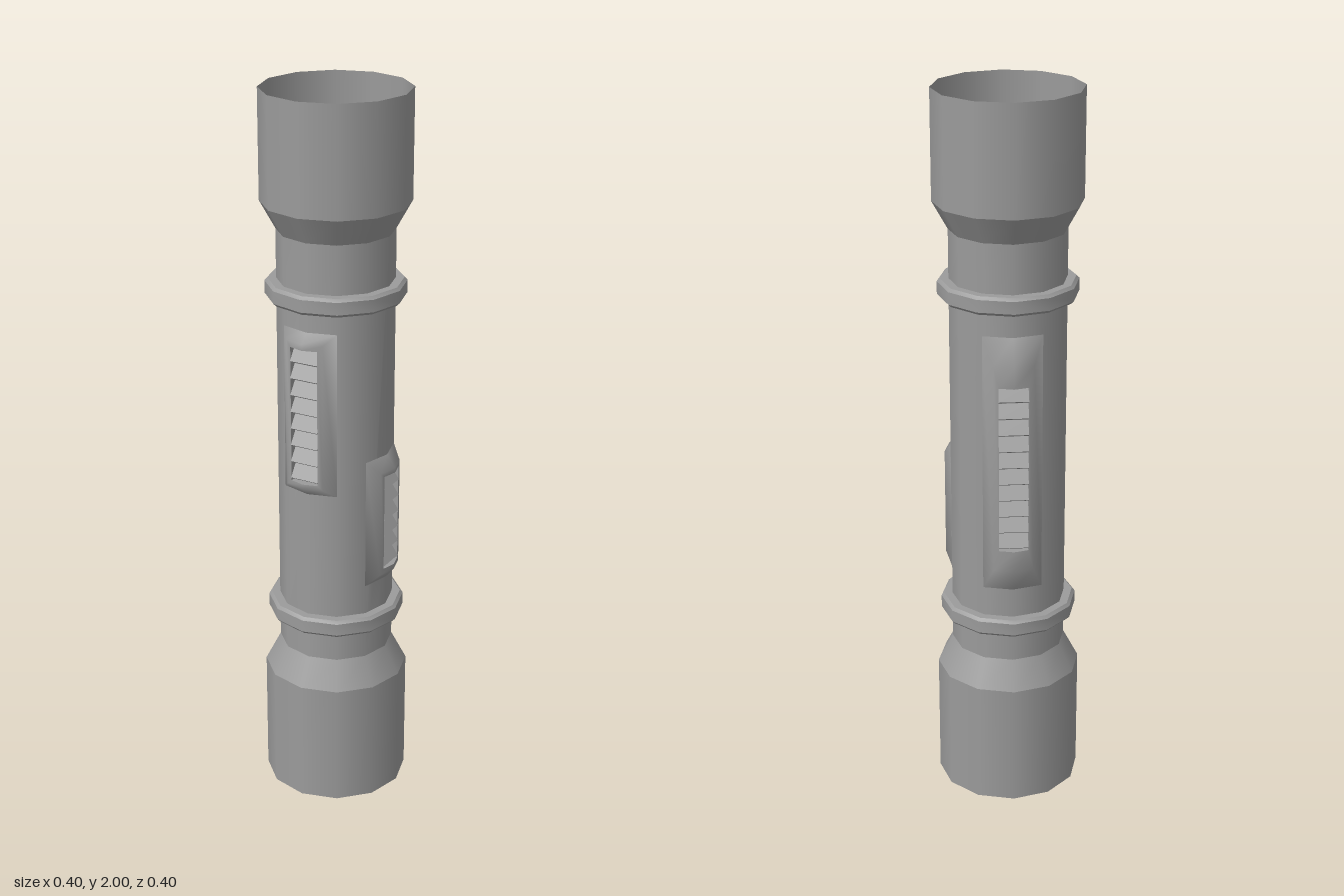
import * as THREE from 'three';
import { mergeGeometries, toCreasedNormals } from 'three/addons/utils/BufferGeometryUtils.js';

const SIDES = 12;
const RADIUS = 0.158;               // narrow body
const TILT = Math.tan(Math.PI / SIDES); // slope of the tube facets beside a corner
const SLOT = 0.04;                  // half width of the vent slots
const FLOOR = 0.145;                // distance of the slot floor from the axis
const metal = new THREE.MeshStandardMaterial({ color: 0x9b9b9b, side: THREE.DoubleSide });

// Vents sit on tube corners; corner 0 faces the front, counting towards +x
const VENTS = [
  { name: 'frontVent', corner: 11, ridge: 0.183, base: [0.93, 1.39], top: [0.955, 1.365], slot: [0.968, 1.348] },
  { name: 'leftVent', corner: 2, ridge: 0.183, base: [0.65, 1.02], top: [0.68, 0.985], slot: [0.695, 0.972] },
  { name: 'backVent', corner: 6, ridge: 0.191, base: [0.65, 1.38], top: [0.72, 1.31], slot: [0.78, 1.25] },
];

function add(parent, name, geometry) {
  const mesh = new THREE.Mesh(geometry, metal);
  mesh.name = name;
  parent.add(mesh);
  return mesh;
}

// Narrow tube made facet by facet, notched where a slot opens
function bodyGeometry(y0, y1) {
  const notch = SLOT / Math.cos(Math.PI / SIDES) / (2 * RADIUS * Math.sin(Math.PI / SIDES));
  const cornerPoint = k => {
    const a = k * 2 * Math.PI / SIDES;
    return new THREE.Vector3(RADIUS * Math.sin(a), 0, RADIUS * Math.cos(a));
  };
  const facets = [];
  for (let k = 0; k < SIDES; k++) {
    const after = VENTS.find(v => v.corner === k);
    const before = VENTS.find(v => v.corner === (k + 1) % SIDES);
    const points = [[0, y0], [1, y0]];
    if (before) {
      const [a, b] = before.slot;
      points.push([1, a], [1 - notch, a], [1 - notch, b], [1, b]);
    }
    points.push([1, y1], [0, y1]);
    if (after) {
      const [a, b] = after.slot;
      points.push([0, b], [notch, b], [notch, a], [0, a]);
    }
    const g = new THREE.ShapeGeometry(new THREE.Shape(points.map(p => new THREE.Vector2(...p))));
    const pos = g.attributes.position;
    for (let i = 0; i < pos.count; i++) {
      const p = cornerPoint(k).lerp(cornerPoint(k + 1), pos.getX(i));
      pos.setXYZ(i, p.x, pos.getY(i), p.z);
      p.normalize();
      g.attributes.normal.setXYZ(i, p.x, 0, p.z);
    }
    facets.push(g);
  }
  return mergeGeometries(facets);
}

// Six-point outline folded over a tube corner; ridge is the height at its centre
function outline(halfWidth, [y0, y1], ridge, fold = TILT) {
  const edge = ridge - halfWidth * fold;
  return [
    [-halfWidth, y0, edge], [0, y0, ridge], [halfWidth, y0, edge],
    [halfWidth, y1, edge], [0, y1, ridge], [-halfWidth, y1, edge],
  ];
}

// Bevelled frame with a recessed slot, lofted from base to slot floor
function frameGeometry({ base, top, slot, ridge }) {
  const loops = [
    outline(0.08, base, RADIUS),
    outline(0.054, top, ridge),
    outline(SLOT, slot, ridge),
    outline(SLOT, slot, FLOOR, 0),
  ];
  const index = [];
  for (let r = 0; r < loops.length - 1; r++) {
    for (let i = 0; i < 6; i++) {
      const a = r * 6 + i, b = r * 6 + (i + 1) % 6;
      index.push(a, b, b + 6, a, b + 6, a + 6);
    }
  }
  for (let i = 1; i < 5; i++) index.push(18, 18 + i, 19 + i); // slot floor
  const g = new THREE.BufferGeometry();
  g.setAttribute('position', new THREE.Float32BufferAttribute(loops.flat(2), 3));
  g.setIndex(index);
  return toCreasedNormals(g, 1.05);
}

function createVent(spec) {
  const vent = new THREE.Group();
  vent.name = spec.name;
  add(vent, 'ventFrame', frameGeometry(spec));
  // Steep louvres slope outward and down
  const [y0, y1] = spec.slot;
  const count = Math.round((y1 - y0) / 0.047);
  const blade = new THREE.BoxGeometry(2 * SLOT, 0.008, 0.042);
  for (let i = 0; i < count; i++) {
    const slat = add(vent, 'slat', blade);
    slat.position.set(0, y0 + (i + 0.5) * (y1 - y0) / count, spec.ridge - 0.024);
    slat.rotation.x = 0.95;
  }
  vent.rotation.y = spec.corner * 2 * Math.PI / SIDES;
  return vent;
}

export function createModel() {
  const model = new THREE.Group();
  model.name = 'pipe';

  // Open tube: wide sockets and tapers [name, y0, r0, y1, r1] around the body
  const sections = [
    ['lowerSocket', 0, 0.2, 0.35, 0.2],
    ['lowerTaper', 0.35, 0.2, 0.43, RADIUS],
    ['upperTaper', 1.63, RADIUS, 1.705, 0.2],
    ['upperSocket', 1.705, 0.2, 2, 0.2],
  ];
  for (const [name, y0, r0, y1, r1] of sections) {
    const g = new THREE.CylinderGeometry(r1, r0, y1 - y0, SIDES, 1, true);
    add(model, name, g).position.y = (y0 + y1) / 2;
  }
  add(model, 'body', bodyGeometry(0.43, 1.63));

  // Bevelled collars around the body
  const profile = [[0.157, -0.025], [0.181, -0.025], [0.189, -0.017], [0.189, 0.017], [0.181, 0.025], [0.157, 0.025]]
    .map(([r, y]) => new THREE.Vector2(r, y));
  const collar = toCreasedNormals(new THREE.LatheGeometry(profile, SIDES), 0.6);
  add(model, 'lowerCollar', collar).position.y = 0.541;
  add(model, 'upperCollar', collar).position.y = 1.471;

  // Louvred vents spaced around the body
  for (const spec of VENTS) model.add(createVent(spec));
  return model;
}
